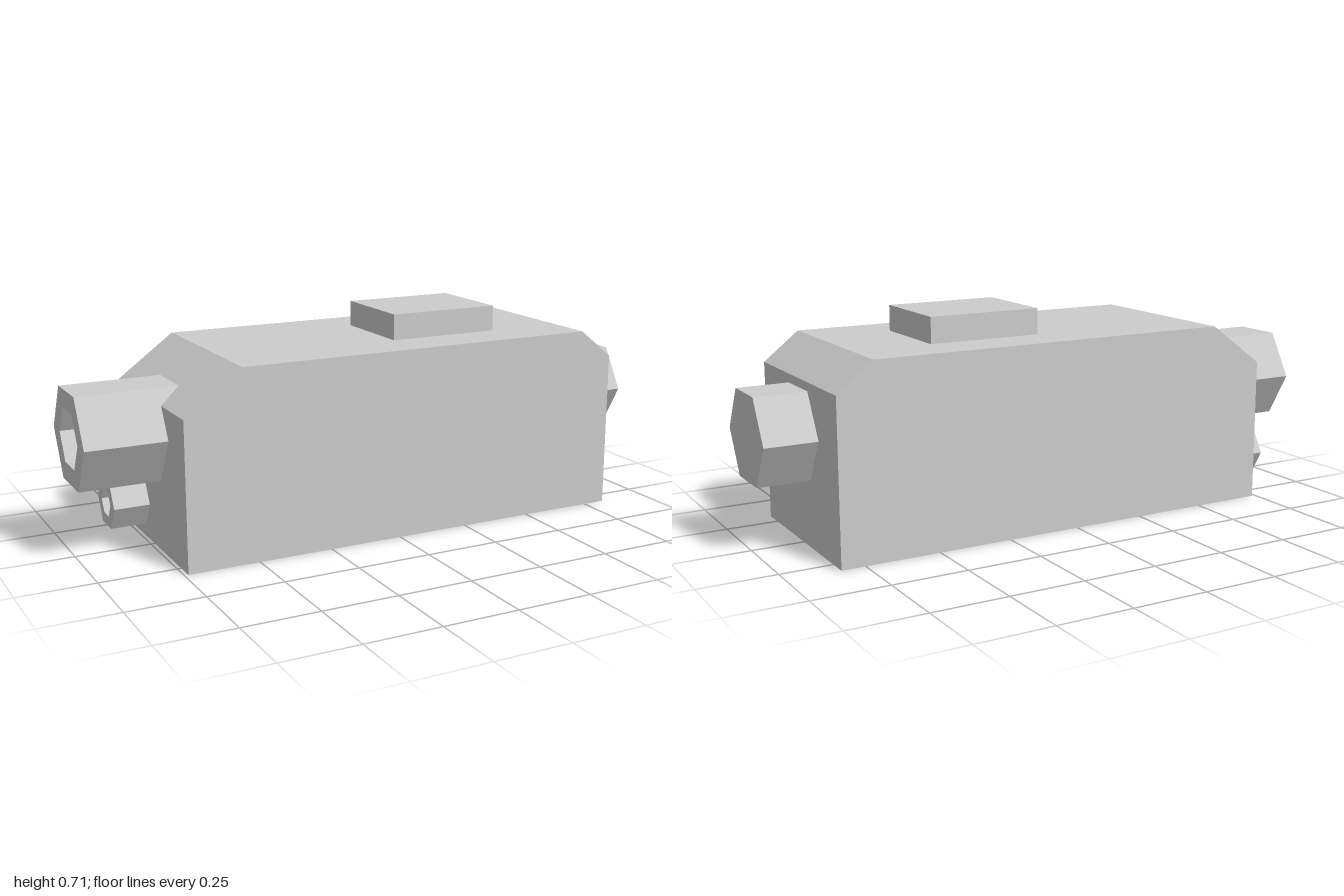
import * as THREE from 'three';

const grey = new THREE.MeshStandardMaterial({ color: 0xcccccc });
grey.name = 'light grey';

// hexagon with corners pointing along the local x axis
function hexPoints(r) {
  return Array.from({ length: 6 }, (_, i) =>
    new THREE.Vector2(r * Math.cos(i * Math.PI / 3), r * Math.sin(i * Math.PI / 3)));
}

// hexagonal bar along x from x0 to x1, optionally bored through
function hexBar(name, x0, x1, y, z, radius, bore = 0) {
  const shape = new THREE.Shape(hexPoints(radius));
  if (bore) shape.holes.push(new THREE.Path(hexPoints(bore)));
  const geo = new THREE.ExtrudeGeometry(shape, { depth: x1 - x0, bevelEnabled: false });
  geo.rotateY(Math.PI / 2);
  const mesh = new THREE.Mesh(geo, grey);
  mesh.name = name;
  mesh.position.set(x0, y, z);
  return mesh;
}

export function createModel() {
  const model = new THREE.Group();
  model.name = 'deviceBox';

  // housing: side profile with two sloped shoulders
  const profile = new THREE.Shape([
    [-0.737, 0], [0.828, 0], [0.828, 0.531], [0.708, 0.626], [-0.545, 0.626], [-0.737, 0.485],
  ].map(([x, y]) => new THREE.Vector2(x, y)));
  const bodyGeo = new THREE.ExtrudeGeometry(profile, { depth: 0.628, bevelEnabled: false });
  bodyGeo.translate(0, 0, -0.314);
  const body = new THREE.Mesh(bodyGeo, grey);
  body.name = 'housing';
  model.add(body);

  // raised button on the top
  const button = new THREE.Mesh(new THREE.BoxGeometry(0.386, 0.096, 0.312), grey);
  button.name = 'topButton';
  button.position.set(0.252, 0.664, 0);
  model.add(button);

  // solid knob at one end, two hollow spouts at the other
  model.add(
    hexBar('endKnob', 0.8, 1, 0.362, 0, 0.162),
    hexBar('largeSpout', -1, -0.6, 0.386, 0, 0.173, 0.102),
    hexBar('smallSpout', -0.856, -0.7, 0.122, -0.125, 0.09, 0.048),
  );
  return model;
}
